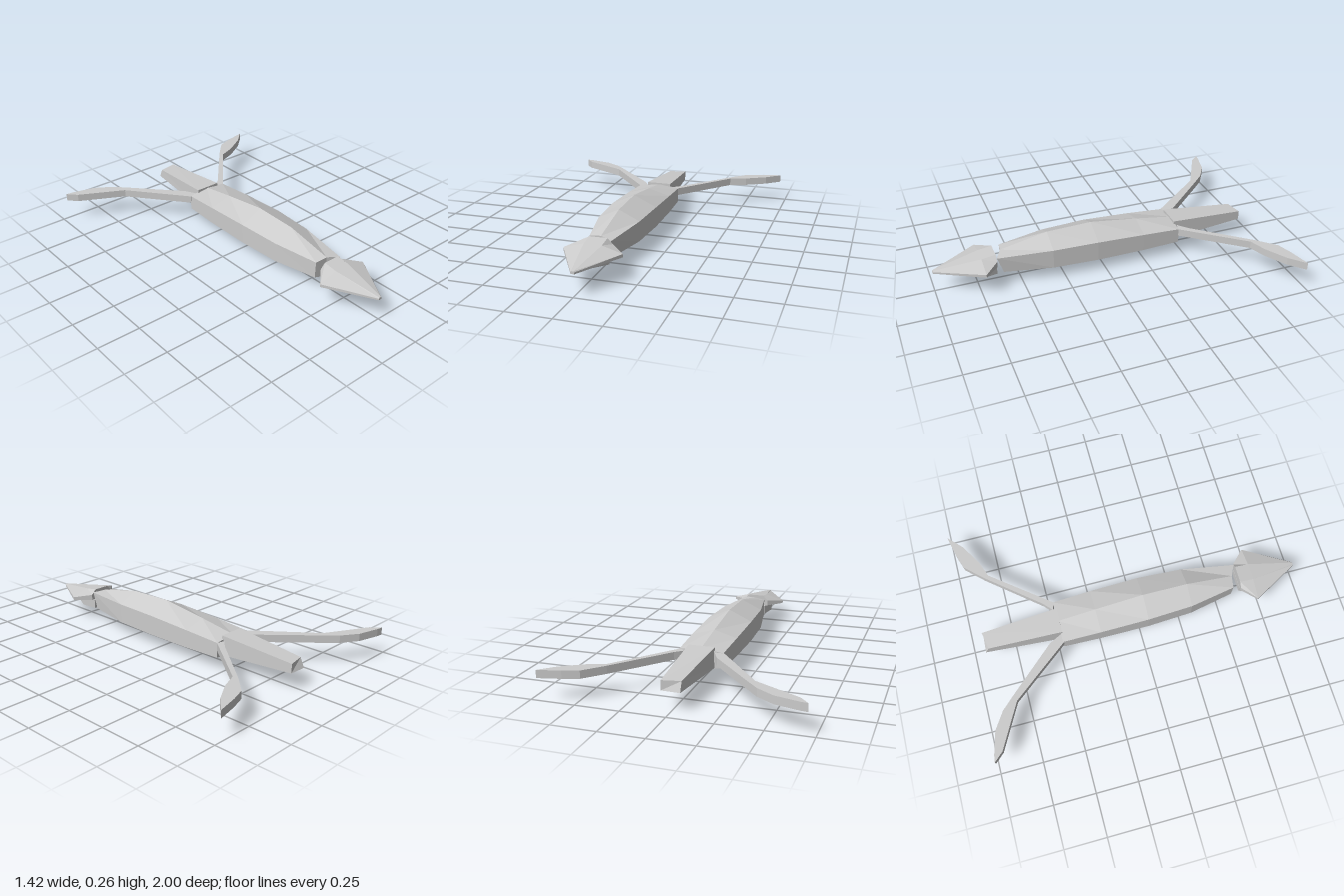
import * as THREE from 'three';

const material = new THREE.MeshStandardMaterial({ color: 0xcccccc, flatShading: true });

// Skin between rings of [x, y, z] points, listed back to front, each counter-clockwise seen from +z
function loft(name, rings) {
  const pos = [];
  const tri = (a, b, c) => pos.push(...a, ...b, ...c);
  const n = rings[0].length;
  for (let r = 0; r < rings.length - 1; r++) {
    const back = rings[r], front = rings[r + 1];
    for (let i = 0; i < n; i++) {
      const j = (i + 1) % n;
      tri(back[i], back[j], front[j]);
      tri(back[i], front[j], front[i]);
    }
  }
  const first = rings[0], last = rings[rings.length - 1];
  for (let i = 1; i < n - 1; i++) {
    tri(first[0], first[i + 1], first[i]);
    tri(last[0], last[i], last[i + 1]);
  }
  const geometry = new THREE.BufferGeometry();
  geometry.setAttribute('position', new THREE.Float32BufferAttribute(pos, 3));
  geometry.computeVertexNormals();
  const mesh = new THREE.Mesh(geometry, material);
  mesh.name = name;
  return mesh;
}

// Upright hexagon with a ridge above and a keel below
const hexRing = (z, w, keel, low, high, ridge) => [
  [0, keel, z], [w, low, z], [w, high, z], [0, ridge, z], [-w, high, z], [-w, low, z],
];

// Flat-bottomed ring with a narrower flat top
const jawRing = (z, w, low, mid, t, top) => [
  [w, low, z], [w, mid, z], [t, top, z], [-t, top, z], [-w, mid, z], [-w, low, z],
];

const boxRing = (z, w, low, high) => [[w, low, z], [w, high, z], [-w, high, z], [-w, low, z]];

// Flat limb cut from an x, z outline
function limb(name, outline) {
  const shape = new THREE.Shape(outline.map(([x, z]) => new THREE.Vector2(x, z)));
  const geometry = new THREE.ExtrudeGeometry(shape, { depth: 0.045, bevelEnabled: false });
  geometry.rotateX(Math.PI / 2).translate(0, 0.168, 0);
  const mesh = new THREE.Mesh(geometry, material);
  mesh.name = name;
  return mesh;
}

export function createModel() {
  const model = new THREE.Group();
  model.name = 'creature';

  // Long body, its front end cut slightly askew
  const nose = [
    [0, 0.065, 0.6], [0.07, 0.08, 0.605], [0.07, 0.18, 0.64],
    [0, 0.19, 0.605], [-0.07, 0.18, 0.595], [-0.07, 0.08, 0.59],
  ];
  model.add(loft('body', [
    hexRing(-0.47, 0.128, 0.065, 0.08, 0.168, 0.185),
    hexRing(-0.24, 0.134, 0.01, 0.075, 0.182, 0.22),
    hexRing(0.05, 0.136, 0.0, 0.075, 0.195, 0.258),
    hexRing(0.32, 0.122, 0.01, 0.075, 0.192, 0.25),
    nose,
  ]));

  // Tapered tail with a sloping end
  const tailEnd = [[0.055, 0.105, -0.92], [0.055, 0.16, -0.92], [-0.05, 0.16, -0.9], [-0.05, 0.105, -0.925]];
  model.add(loft('tail', [tailEnd, boxRing(-0.46, 0.076, 0.077, 0.195)]));

  // Head: broad pointed upper jaw over a smaller lower jaw
  const head = new THREE.Group();
  head.name = 'head';
  head.add(loft('upperJaw', [
    jawRing(0.642, 0.08, 0.13, 0.165, 0.05, 0.195),
    jawRing(0.725, 0.165, 0.132, 0.15, 0.05, 0.183),
    jawRing(1.0, 0.01, 0.125, 0.135, 0.005, 0.14),
  ]));
  head.add(loft('lowerJaw', [
    boxRing(0.642, 0.06, 0.07, 0.125),
    boxRing(0.72, 0.09, 0.082, 0.122),
    boxRing(0.91, 0.01, 0.11, 0.12),
  ]));
  model.add(head);

  // Splayed hind limbs, each with a bent foot
  model.add(limb('leftLimb', [
    [0.08, -0.48], [0.135, -0.53], [0.39, -0.835], [0.49, -0.94], [0.58, -0.97], [0.71, -1],
    [0.625, -0.92], [0.5, -0.845], [0.4, -0.808], [0.128, -0.468],
  ]));
  model.add(limb('rightLimb', [
    [-0.075, -0.465], [-0.115, -0.545], [-0.36, -0.815], [-0.435, -0.895], [-0.535, -0.96], [-0.67, -0.995],
    [-0.71, -1], [-0.66, -0.945], [-0.52, -0.87], [-0.4, -0.805], [-0.13, -0.465],
  ]));
  return model;
}
